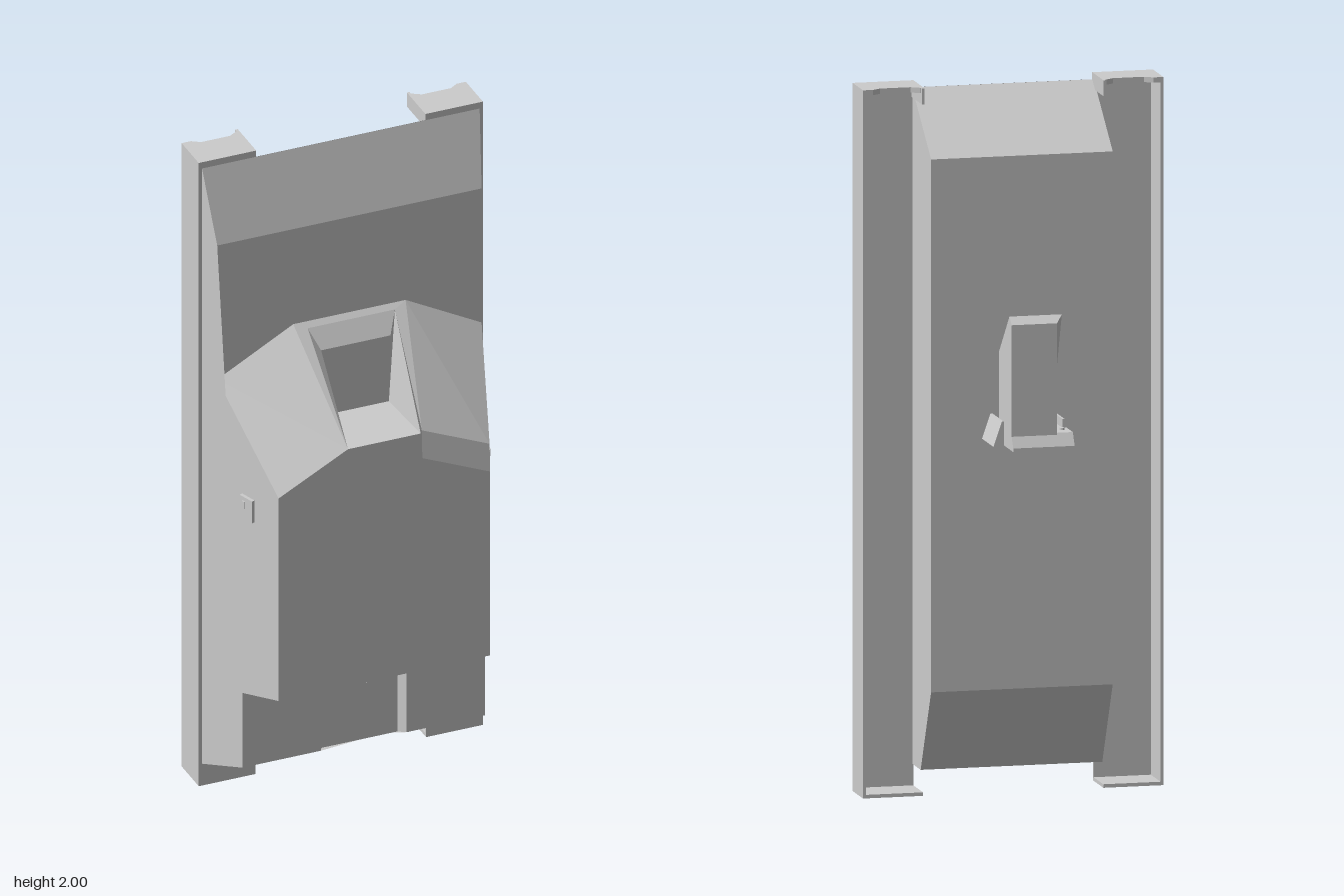
import * as THREE from 'three';

export function createModel() {
  const root = new THREE.Group();
  const grey = new THREE.MeshStandardMaterial({ color: 0xcccccc, flatShading: true, side: THREE.DoubleSide });
  grey.name = 'light grey';

  const add = (name, geo, parent = root) => {
    const m = new THREE.Mesh(geo, grey);
    m.name = name;
    parent.add(m);
    return m;
  };
  // Box given by its x, y and z ranges
  const box = (x0, x1, y0, y1, z0, z1) =>
    new THREE.BoxGeometry(Math.abs(x1 - x0), y1 - y0, z1 - z0)
      .translate((x0 + x1) / 2, (y0 + y1) / 2, (z0 + z1) / 2);
  const shape = (pts) => new THREE.Shape(pts.map(([a, b]) => new THREE.Vector2(a, b)));
  // Side profile of [z, y] points extruded from x0 to x1
  const extrudeX = (pts, x0, x1) =>
    new THREE.ExtrudeGeometry(shape(pts), { depth: x1 - x0, bevelEnabled: false })
      .rotateY(-Math.PI / 2).translate(x1, 0, 0);
  // Flat polygons, each split as a fan from its first corner
  const faceted = (polys) => {
    const pos = [];
    for (const p of polys)
      for (let i = 1; i < p.length - 1; i++) pos.push(...p[0], ...p[i], ...p[i + 1]);
    const g = new THREE.BufferGeometry();
    g.setAttribute('position', new THREE.Float32BufferAttribute(pos, 3));
    g.computeVertexNormals();
    return g;
  };

  // Front casing: two tapered halves, with a chamfer on the left shoulder only
  const shell = [], lower = [], pocket = [];
  const corner = {};
  for (const s of [1, -1]) {
    const v = (x, y, z) => [s * x, y, z];
    const put = (list, ...p) => list.push(s > 0 ? p : p.reverse());
    const A = v(0.42, 1.98, 0.07), B = v(0.4, 1.76, 0.13), C = v(0.4, 1.33, 0.13);
    const D = v(0.17, 1.455, 0.13), W = v(0.132, 1.44, 0.143);
    const E = v(0.11, 1.17, 0.375);
    const E1 = s > 0 ? v(0.12, 1.17, 0.36) : E;
    const F1 = s > 0 ? v(0.325, 1.08, 0.36) : v(0.32, 1.06, 0.375);
    const G = s > 0 ? v(0.32, 1.0, 0.375) : F1;
    const H = s > 0 ? v(0.115, 1.09, 0.375) : E;
    const K = v(0.1, 1.17, 0.175), L = v(0.105, 1.38, 0.175);
    const M = v(0.42, 0.37, 0.07), P0 = v(0.42, 0.07, 0.07), P1 = v(0.367, 0.13, 0.23);
    const P2 = v(0.367, 0.37, 0.23), P3 = v(0.32, 0.41, 0.375);
    corner[s] = { A, B, D, W, E, G, H, K, L, P3 };

    put(shell, B, v(0, 1.76, 0.13), v(0, 1.455, 0.13), D, C);
    put(shell, D, E1, F1, C);
    put(shell, D, W, E1);
    put(shell, M, A, B, C, F1, G, P3, P2);
    put(shell, M, P2, P1, P0);
    if (s > 0) shell.push([H, G, F1, E1], [H, E1, E]);
    put(pocket, W, L, K, E, E1);

    // Lower panels beside the central recess
    const Q1 = v(0.13, 0.13, 0.23), Q2 = v(0.115, 0.12, 0.2);
    const Q3 = v(0.13, 0.37, 0.23), Q4 = v(0.115, 0.362, 0.2);
    put(lower, Q1, P1, P2, Q3);
    put(lower, Q1, Q3, Q4, Q2);
    put(lower, v(0, 0.12, 0.2), Q2, Q4, v(0, 0.362, 0.2));
    put(lower, v(0, 0.07, 0.07), P0, P1, Q1, Q2, v(0, 0.12, 0.2));
    put(lower, v(0, 0.41, 0.375), v(0, 0.362, 0.2), Q4, Q3, P2, P3);
  }
  const l = corner[-1], r = corner[1];
  shell.push([l.A, l.B, r.B, r.A], [l.D, l.W, r.W, r.D]);
  shell.push([l.P3, r.P3, r.G, r.H, r.E, l.E, l.G]);
  pocket.push([l.K, r.K, r.L, l.L], [l.L, r.L, r.W, l.W], [l.E, r.E, r.K, l.K]);
  add('frontCasing', faceted(shell));
  add('windowPocket', faceted(pocket));
  add('lowerPanels', faceted(lower));

  // Back casing with sloped ends
  add('backCasing', extrudeX(
    [[0.069, 1.98], [0.069, 0.07], [-0.03, 0.07], [-0.05, 0.11], [-0.15, 0.31], [-0.15, 1.815]], -0.26, 0.26));

  // Side channels, open to the back, with notched top caps
  for (const s of [1, -1]) {
    const rail = new THREE.Group();
    rail.name = s > 0 ? 'leftRail' : 'rightRail';
    root.add(rail);
    add('railWall', box(s * 0.422, s * 0.43, 0, 2, -0.05, 0.07), rail);
    add('railFront', box(s * 0.258, s * 0.43, 0, 2, 0.062, 0.07), rail);
    add('bottomCap', box(s * 0.258, s * 0.43, 0, 0.01, -0.05, 0.07), rail);
    const cap = [[0.258, -0.07], [0.43, -0.07], [0.43, 0.05], [0.402, 0.05],
      [0.378, 0.034], [0.29, 0.034], [0.265, 0.05], [0.258, 0.05]];
    add('topCap', new THREE.ExtrudeGeometry(shape(cap.map(([x, y]) => [s * x, y])),
      { depth: 0.015, bevelEnabled: false }).rotateX(-Math.PI / 2).translate(0, 1.985, 0), rail);
    add('capTab', box(s * 0.256, s * 0.264, 1.955, 2, -0.06, 0.07), rail);

    // Side latch lying on the tapered flank
    const latch = new THREE.Group();
    latch.name = 'sideLatch';
    latch.position.set(s * 0.361, 0.975, 0.255);
    latch.rotation.y = -s * 0.32;
    root.add(latch);
    add('latchPlate', box(-0.008, 0.008, -0.035, 0.035, -0.026, 0.026), latch);
    add('latchButton', box(-0.011, 0.011, 0, 0.022, -0.013, -0.003), latch);
  }

  // Small catch under the front overhang
  add('catch', box(-0.037, 0.037, 0.382, 0.396, 0.285, 0.335));

  // Rear bracket, tray and grip
  const rear = new THREE.Group();
  rear.name = 'rearHandle';
  root.add(rear);
  add('bracketFloor', box(-0.085, 0.085, 1.02, 1.035, -0.21, -0.145), rear);
  for (const s of [1, -1])
    add('bracketFlange', faceted([
      [[s * 0.09, 1.09, -0.15], [s * 0.09, 1.09, -0.28], [s * 0.114, 1.02, -0.28], [s * 0.114, 1.02, -0.15]],
      [[s * 0.084, 1.09, -0.15], [s * 0.084, 1.09, -0.28], [s * 0.084, 1.02, -0.28], [s * 0.084, 1.02, -0.15]],
      [[s * 0.084, 1.09, -0.15], [s * 0.09, 1.09, -0.15], [s * 0.09, 1.09, -0.28], [s * 0.084, 1.09, -0.28]],
      [[s * 0.084, 1.02, -0.28], [s * 0.114, 1.02, -0.28], [s * 0.09, 1.09, -0.28], [s * 0.084, 1.09, -0.28]],
      [[s * 0.084, 1.02, -0.15], [s * 0.114, 1.02, -0.15], [s * 0.114, 1.02, -0.28], [s * 0.084, 1.02, -0.28]],
    ]), rear);
  add('tray', extrudeX(
    [[-0.2, 1.02], [-0.2, 1.065], [-0.35, 1.065], [-0.372, 1.03], [-0.372, 1.02]], -0.096, 0.08), rear);
  add('screw', new THREE.CylinderGeometry(0.007, 0.007, 0.008, 12).translate(-0.076, 1.067, -0.308), rear);

  // Grip, narrowed on one side towards its back face
  const grip = extrudeX(
    [[-0.208, 1.06], [-0.208, 1.275], [-0.328, 1.395], [-0.354, 1.375], [-0.354, 1.06]], -0.07, 0.08);
  const p = grip.attributes.position;
  for (let i = 0; i < p.count; i++)
    if (p.getX(i) < 0 && p.getZ(i) < -0.34) p.setX(i, -0.05);
  grip.computeVertexNormals();
  add('grip', grip, rear);

  return root;
}
